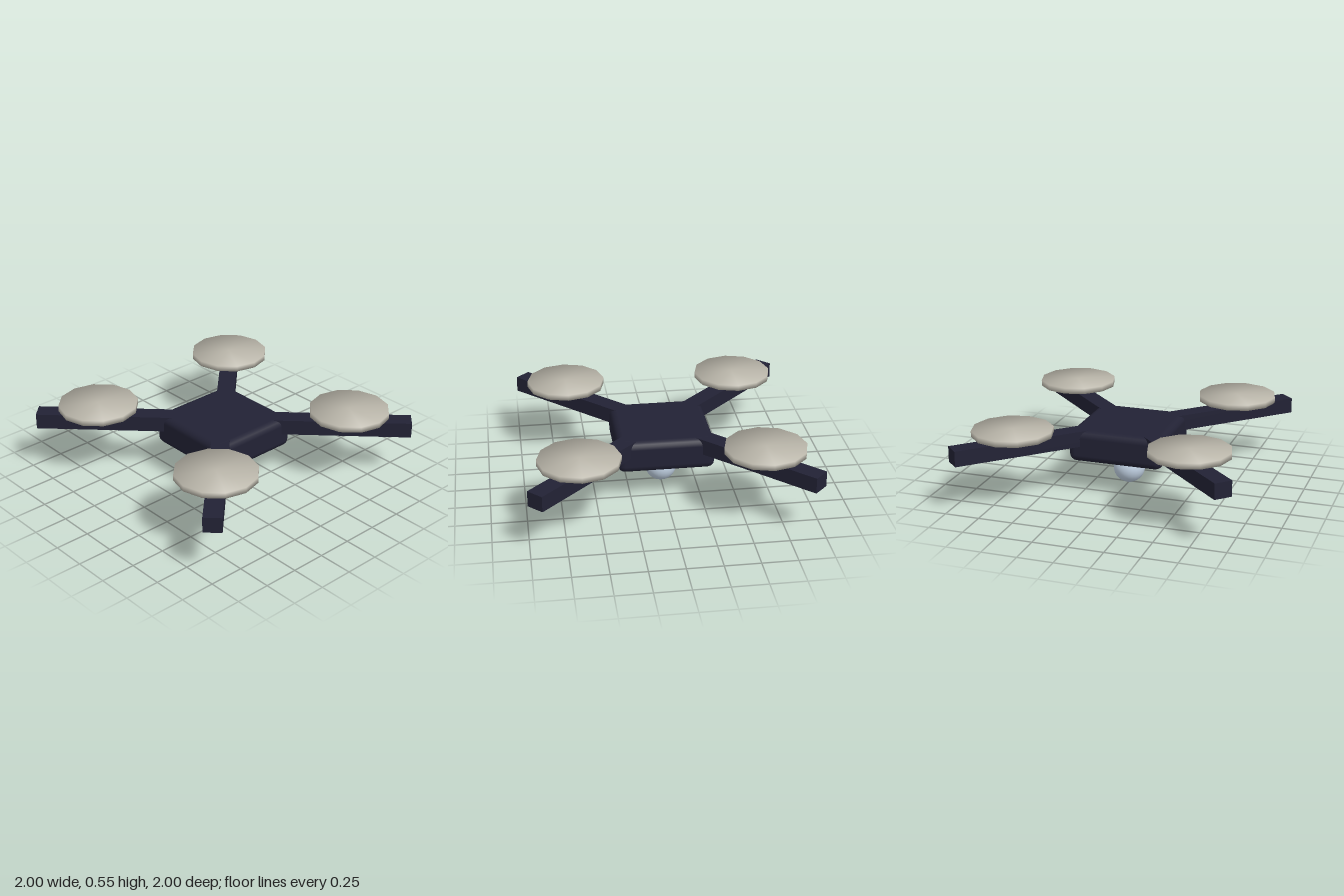
import * as THREE from 'three';
import { RoundedBoxGeometry } from 'three/addons/geometries/RoundedBoxGeometry.js';

const material = (name, color) => {
  const m = new THREE.MeshStandardMaterial({ color });
  m.name = name;
  return m;
};

// Twelve-sided disc whose normals blend softly over the rim
function softDisc(radius, height) {
  const geometry = new THREE.CylinderGeometry(radius, radius, height, 12);
  const p = geometry.attributes.position;
  const n = geometry.attributes.normal;
  const k = Math.SQRT1_2;
  for (let i = 0; i < p.count; i++) {
    n.setXYZ(i, k * p.getX(i) / radius, k * Math.sign(p.getY(i)), k * p.getZ(i) / radius);
  }
  return geometry;
}

export function createModel() {
  const model = new THREE.Group();
  model.name = 'quadcopter';
  const navy = material('dark navy', 0x222235);
  const grey = material('warm grey', 0xbab6aa);
  const blue = material('pale blue', 0xc0d0e2);

  const add = (name, geometry, mat, x, y, z) => {
    const mesh = new THREE.Mesh(geometry, mat);
    mesh.name = name;
    mesh.position.set(x, y, z);
    model.add(mesh);
    return mesh;
  };

  // Central hull with bevelled edges
  add('body', new RoundedBoxGeometry(0.69, 0.232, 0.69, 2, 0.052), navy, 0, 0.351, 0);

  // Two crossing beams form the four arms
  const beam = new THREE.BoxGeometry(2.7, 0.112, 0.129);
  for (const side of [-1, 1]) {
    add('armBeam', beam, navy, 0, 0.41, 0).rotation.y = side * Math.PI / 4;
  }

  // Rotor discs hover above the arms
  const disc = softDisc(0.288, 0.042);
  for (const x of [-1, 1]) {
    for (const z of [-1, 1]) {
      add('rotor', disc, grey, x * 0.638, 0.525, z * 0.638);
    }
  }

  // Camera ball under the hull
  add('cameraBall', new THREE.SphereGeometry(0.115, 24, 16), blue, 0, 0.116, 0);

  return model;
}
